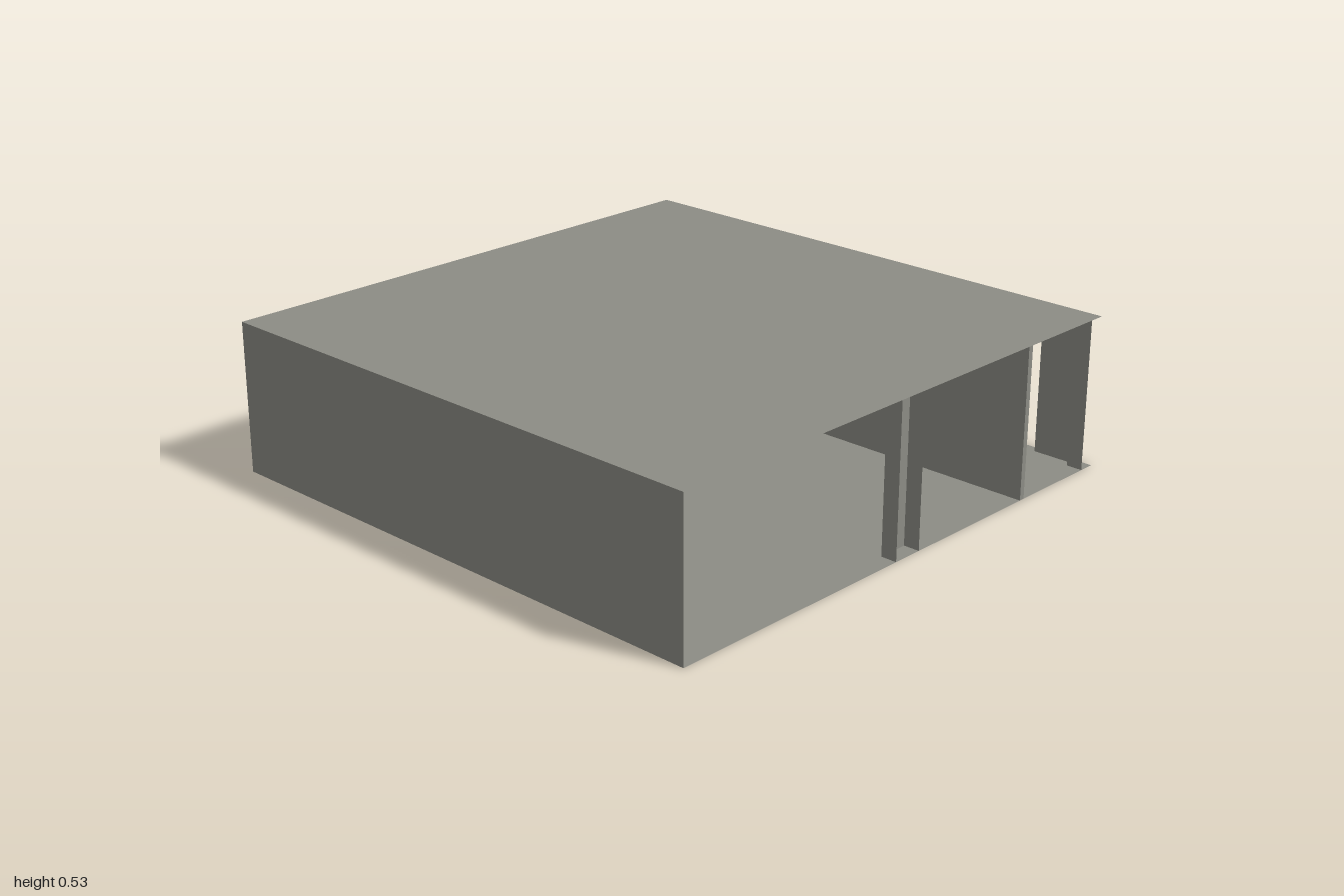
import * as THREE from 'three';

const H = 0.533; // storey height
const D = 0.058; // column recess depth

export function createModel() {
  const model = new THREE.Group();
  const concrete = new THREE.MeshStandardMaterial({ color: 0x8c8c85, side: THREE.DoubleSide });
  concrete.name = 'concrete grey';

  const add = (parent, name, geometry) => {
    const mesh = new THREE.Mesh(geometry, concrete);
    mesh.name = name;
    parent.add(mesh);
    return mesh;
  };

  // Upright sheet between two plan points (x, z)
  const sheet = (parent, name, [x1, z1], [x2, z2]) => {
    const mesh = add(parent, name, new THREE.PlaneGeometry(Math.hypot(x2 - x1, z2 - z1), H));
    mesh.position.set((x1 + x2) / 2, H / 2, (z1 + z2) / 2);
    mesh.rotation.y = Math.atan2(z1 - z2, x2 - x1);
  };

  // Open column casing following a line of plan points
  const casing = (name, points) => {
    const group = new THREE.Group();
    group.name = name;
    for (let i = 1; i < points.length; i++) sheet(group, name + 'Face', points[i - 1], points[i]);
    model.add(group);
    return group;
  };

  // Floor and roof sheets
  add(model, 'floor', new THREE.PlaneGeometry(2, 2)).rotation.x = -Math.PI / 2;
  const roof = add(model, 'roof', new THREE.PlaneGeometry(2, 2));
  roof.rotation.x = -Math.PI / 2;
  roof.position.y = H;

  // Solid side wall
  sheet(model, 'sideWall', [-1, 1], [-1, -1]);

  // Channel-shaped columns, open outward, in the middle of the three open sides
  const w = 0.056, inner = 1 - D;
  const channel = [[-w, 1], [-w, inner], [w, inner], [w, 1]];
  ['frontColumn', 'sideColumn', 'backColumn'].forEach((name, i) => {
    casing(name, channel).rotation.y = i * Math.PI / 2;
  });

  // Corner columns
  casing('backCornerColumn', [[inner, -1], [inner, -inner], [1, -inner]]);
  casing('frontCornerColumn', [[inner, 1], [inner, inner], [0.985, inner]]);

  // Short wall return behind the front corner column
  const stub = add(model, 'cornerPanel', new THREE.BoxGeometry(0.015, H, inner - 0.79));
  stub.position.set(0.9775, H / 2, (inner + 0.79) / 2);

  // Interior partition running from the front edge to the middle
  const partition = add(model, 'partition', new THREE.BoxGeometry(0.02, H, 1));
  partition.position.set(0.6, H / 2, 0.5);

  return model;
}
